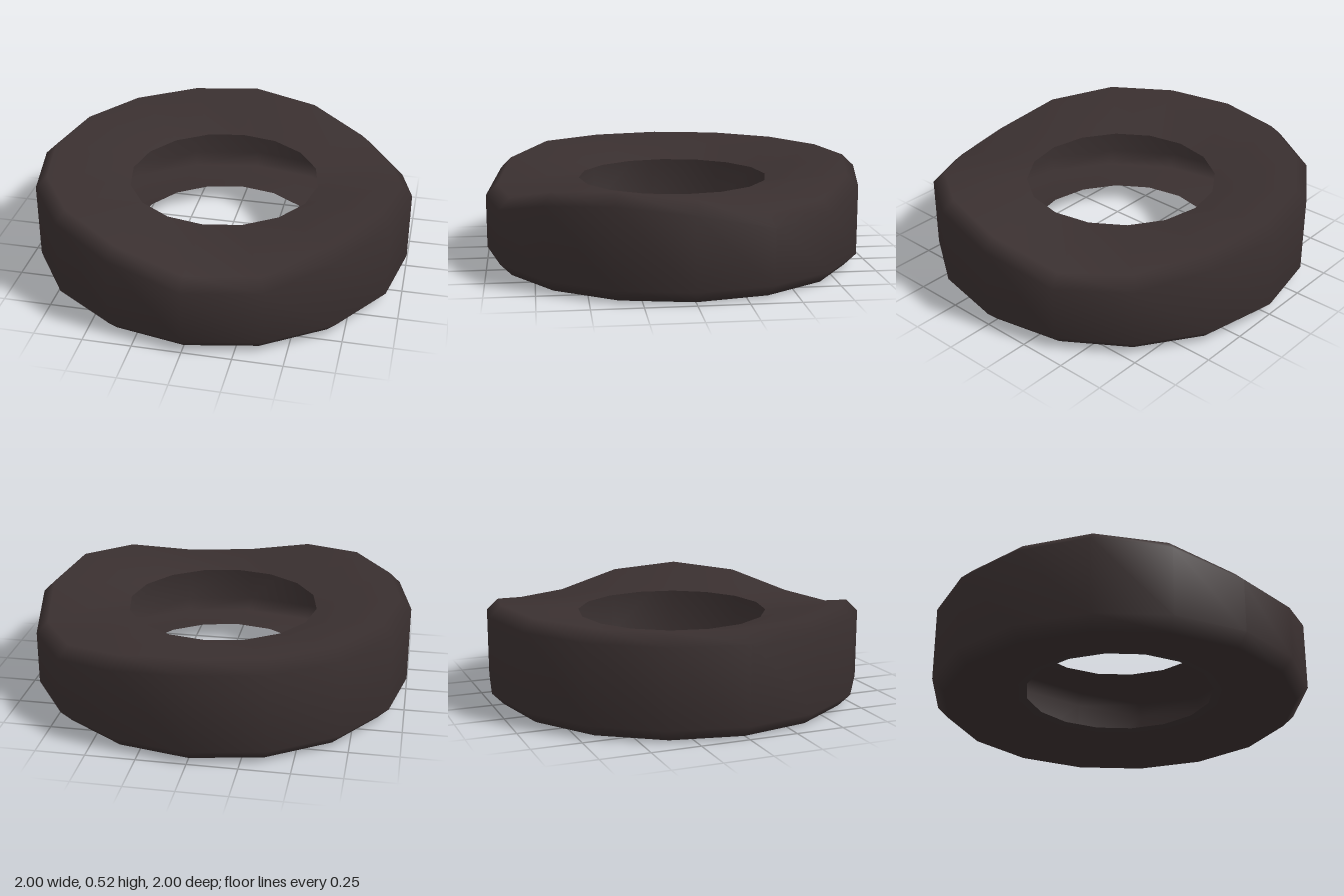
import * as THREE from 'three';
import { mergeVertices } from 'three/addons/utils/BufferGeometryUtils.js';

// Height of the upper shoulder at each of the 16 steps, from the front towards +x
const SHOULDER = [0.405, 0.405, 0.49, 0.525, 0.49, 0.405, 0.42, 0.485,
  0.525, 0.525, 0.525, 0.525, 0.525, 0.525, 0.525, 0.485];

export function createModel() {
  const model = new THREE.Group();
  model.name = 'tyre';
  const rubber = new THREE.MeshStandardMaterial({ color: 0x3a3030, side: THREE.DoubleSide });
  rubber.name = 'dark rubber';

  // Hollow shell, open towards the hole: lower bead, lower shoulder, tread, upper shoulder, upper bead
  const profile = [[0.505, 0.09], [0.938, 0], [1, 0.063], [1, 0.465], [0.938, 0.525], [0.505, 0.43]]
    .map(([r, y]) => new THREE.Vector2(r, y));
  const steps = SHOULDER.length;
  let shell = new THREE.LatheGeometry(profile, steps);

  // Sag the upper shoulder and the top of the tread where the tyre is dented
  const pos = shell.attributes.position;
  for (let i = 0; i <= steps; i++) {
    const top = SHOULDER[i % steps];
    pos.setY(i * profile.length + 3, top - 0.06);
    pos.setY(i * profile.length + 4, top);
  }

  // Weld the seam for smooth shading all round
  shell.deleteAttribute('uv');
  shell.deleteAttribute('normal');
  shell = mergeVertices(shell, 1e-4);
  shell.computeVertexNormals();

  const tyre = new THREE.Mesh(shell, rubber);
  tyre.name = 'tyreShell';
  model.add(tyre);
  return model;
}
